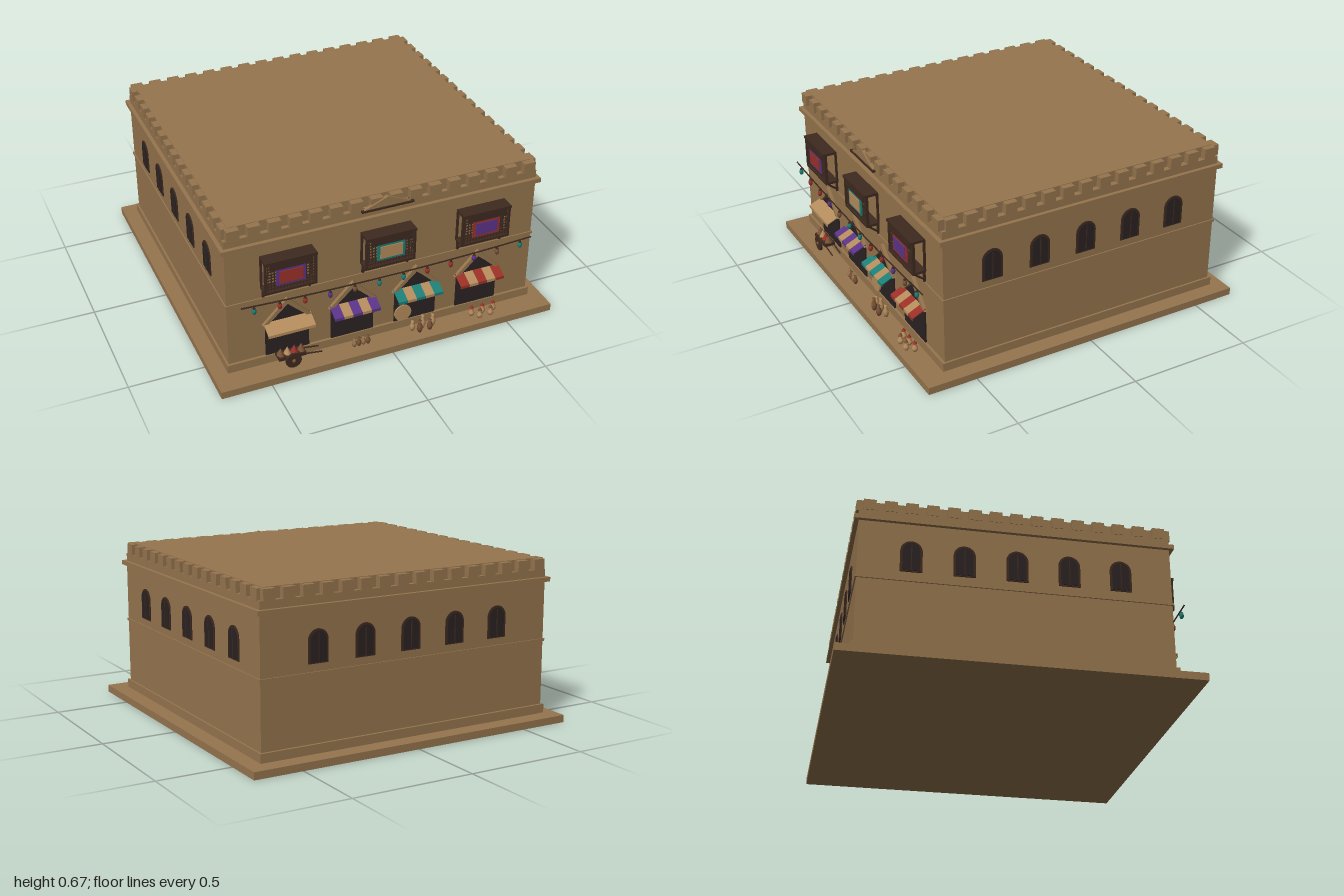
import * as THREE from 'three';

const mat = (name, color, side = THREE.FrontSide) => {
  const m = new THREE.MeshStandardMaterial({ color, side });
  m.name = name;
  return m;
};

export function createModel() {
  const sand = mat('sandstone', 0x96754e);
  const cloth = mat('pale cloth', 0xb58c5c);
  const wood = mat('dark wood', 0x3e2a20);
  const dark = mat('shadowed opening', 0x2a2222);
  const red = mat('red', 0x9c3128);
  const purple = mat('purple', 0x5c3488);
  const teal = mat('teal', 0x1d8078);
  const clay = mat('clay', 0x7a5236);

  const root = new THREE.Group();
  root.name = 'marketHall';
  const group = (name, parent = root) => {
    const g = new THREE.Group();
    g.name = name;
    parent.add(g);
    return g;
  };
  const add = (parent, name, geo, material, x = 0, y = 0, z = 0) => {
    const m = new THREE.Mesh(geo, material);
    m.name = name;
    m.position.set(x, y, z);
    parent.add(m);
    return m;
  };
  const box = (parent, name, material, w, h, d, x, y, z) =>
    add(parent, name, new THREE.BoxGeometry(w, h, d), material, x, y, z);
  // Rod between two points
  const rod = (parent, name, material, a, b, r) => {
    const A = new THREE.Vector3(...a), B = new THREE.Vector3(...b);
    const m = add(parent, name, new THREE.CylinderGeometry(r, r, A.distanceTo(B), 6), material);
    m.position.copy(A).lerp(B, 0.5);
    m.quaternion.setFromUnitVectors(new THREE.Vector3(0, 1, 0), B.sub(A).normalize());
    return m;
  };
  const extrude = (shape, depth) =>
    new THREE.ExtrudeGeometry(shape, { depth, bevelEnabled: false, curveSegments: 10 });
  const polygon = pts => new THREE.Shape(pts.map(p => new THREE.Vector2(...p)));

  // Ground slab and stacked masonry
  box(root, 'groundSlab', sand, 1.4, 0.03, 1.37, 0, 0.015, 0.015);
  box(root, 'walls', sand, 1.27, 0.595, 1.2, 0, 0.3225, 0);
  box(root, 'plinth', sand, 1.286, 0.035, 1.222, 0, 0.0525, 0);
  box(root, 'beltCourse', sand, 1.28, 0.01, 1.21, 0, 0.335, 0);
  box(root, 'cornice', sand, 1.3, 0.018, 1.232, 0, 0.58, 0);
  box(root, 'roof', sand, 1.225, 0.045, 1.165, 0, 0.6425, 0);

  // Battlements around the roof
  const merlons = group('battlements');
  for (const s of [-1, 1]) {
    for (let i = 0; i < 16; i++)
      box(merlons, 'merlon', sand, 0.048, 0.044, 0.03, -0.6 + i * 0.08, 0.641, s * 0.594);
    for (let i = 0; i < 15; i++)
      box(merlons, 'merlon', sand, 0.03, 0.044, 0.048, s * 0.622, 0.641, -0.56 + i * 0.08);
  }

  // Arched windows on the sides and back
  const arch = (w, h) => {
    const s = new THREE.Shape();
    s.moveTo(-w / 2, 0);
    s.lineTo(w / 2, 0);
    s.lineTo(w / 2, h - w / 2);
    s.absarc(0, h - w / 2, w / 2, 0, Math.PI, false);
    s.closePath();
    return s;
  };
  const frameShape = arch(0.084, 0.128), paneShape = arch(0.066, 0.115);
  const walls = [[Math.PI / 2, 0.635], [-Math.PI / 2, 0.635], [Math.PI, 0.6]];
  for (const [turn, dist] of walls) {
    const side = group('windowRow');
    side.rotation.y = turn;
    for (let i = -2; i <= 2; i++) {
      const x = i * 0.2;
      add(side, 'windowFrame', extrude(frameShape, 0.004), wood, x, 0.37, dist);
      add(side, 'windowPane', extrude(paneShape, 0.002), dark, x, 0.375, dist + 0.004);
      box(side, 'windowMullion', wood, 0.004, 0.11, 0.003, x, 0.43, dist + 0.0065);
    }
  }

  // Central pediment on the parapet
  const crest = group('pediment');
  add(crest, 'gable', extrude(polygon([[-0.1, 0], [0.1, 0], [0, 0.042]]), 0.014), sand, 0, 0.624, 0.602);
  box(crest, 'gableSill', wood, 0.212, 0.008, 0.024, 0, 0.622, 0.608);

  // Projecting lattice bays
  const bays = [[-0.4, red, purple], [0, cloth, teal], [0.4, purple, red]];
  for (const [x, fill, trim] of bays) {
    const bay = group('latticeBay');
    bay.position.x = x;
    box(bay, 'bayRoof', wood, 0.205, 0.01, 0.058, 0, 0.521, 0.63);
    box(bay, 'bayFloor', wood, 0.205, 0.01, 0.054, 0, 0.391, 0.628);
    box(bay, 'bayFascia', wood, 0.165, 0.03, 0.008, 0, 0.504, 0.654);
    for (const s of [-1, 1]) {
      box(bay, 'bayPost', wood, 0.008, 0.13, 0.012, s * 0.098, 0.456, 0.649);
      box(bay, 'wallPost', wood, 0.008, 0.13, 0.008, s * 0.098, 0.456, 0.604);
      box(bay, 'bracketFoot', wood, 0.009, 0.045, 0.008, s * 0.092, 0.366, 0.604);
      rod(bay, 'bracket', wood, [s * 0.092, 0.35, 0.602], [s * 0.092, 0.388, 0.648], 0.004);
    }
    for (let i = -7; i <= 7; i++)
      box(bay, 'latticeUpright', wood, 0.004, 0.12, 0.003, i * 0.0125, 0.456, 0.648);
    for (let i = 0; i < 9; i++)
      box(bay, 'latticeRail', wood, 0.195, 0.004, 0.003, 0, 0.406 + i * 0.0125, 0.649);
    box(bay, 'shutterTrim', trim, 0.114, 0.07, 0.006, 0, 0.453, 0.653);
    box(bay, 'shutter', fill, 0.092, 0.052, 0.004, 0, 0.453, 0.657);
  }

  // Shop fronts with pointed arches and striped awnings
  const shops = [[-0.4, cloth], [-0.133, purple], [0.133, teal], [0.4, red]];
  const opening = [[-0.088, 0], [0.088, 0], [0.088, 0.14], [0, 0.215], [-0.088, 0.14]];
  for (const [x, colour] of shops) {
    const shop = group('shopFront');
    shop.position.x = x;
    add(shop, 'shopOpening', extrude(polygon(opening), 0.006), dark, 0, 0.07, 0.6);
    const trim = polygon([[-0.1, 0.215], [0, 0.318], [0.1, 0.215], [0.082, 0.215], [0, 0.292], [-0.082, 0.215]]);
    add(shop, 'archMoulding', extrude(trim, 0.014), sand, 0, 0, 0.6);
    for (let i = 0; i < 5; i++) {
      const stripe = i % 2 ? cloth : colour;
      const sx = (i - 2) * 0.038;
      const panel = box(shop, 'awningStripe', stripe, 0.038, 0.004, 0.06, sx, 0.21, 0.631);
      panel.rotation.x = 0.43;
      box(shop, 'awningValance', stripe, 0.038, 0.012, 0.003, sx, 0.194, 0.658);
    }
  }

  // Rope of hanging lanterns
  const lights = group('lanternString');
  const ropeY = x => 0.344 + 0.016 * (x / 0.6) ** 2;
  const ropePts = [-0.6, -0.4, -0.2, 0, 0.2, 0.4, 0.6].map(x => new THREE.Vector3(x, ropeY(x), 0.662));
  add(lights, 'rope', new THREE.TubeGeometry(new THREE.CatmullRomCurve3(ropePts), 36, 0.003, 5), wood);
  const lampColours = [teal, red, red, purple, clay, teal];
  for (let i = 0; i < 12; i++) {
    const x = -0.55 + i * 0.1, y = ropeY(x);
    const lamp = add(lights, 'lantern', new THREE.SphereGeometry(0.009, 10, 8), lampColours[i % 6], x, y - 0.02, 0.664);
    lamp.scale.y = 1.6;
    add(lights, 'lanternCap', new THREE.CylinderGeometry(0.003, 0.006, 0.006, 8), wood, x, y - 0.006, 0.664);
  }

  // Fruit cart at the first shop
  const cart = group('fruitCart');
  cart.position.set(-0.4, 0, 0.638);
  box(cart, 'cartTray', wood, 0.11, 0.014, 0.045, 0, 0.076, 0);
  const wheel = add(cart, 'cartWheel', new THREE.CylinderGeometry(0.032, 0.032, 0.008, 16), wood, 0, 0.064, 0.028);
  wheel.rotation.x = Math.PI / 2;
  add(cart, 'wheelHub', new THREE.SphereGeometry(0.008, 8, 6), clay, 0, 0.064, 0.032);
  for (const s of [-1, 1])
    rod(cart, 'cartHandle', wood, [0.04, 0.074, s * 0.018], [0.12, 0.063, s * 0.018], 0.003);
  const fruit = [clay, cloth, red];
  for (let i = 0; i < 4; i++) {
    const fx = -0.042 + i * 0.028;
    const pile = add(cart, 'fruitHeap', new THREE.ConeGeometry(0.015, 0.032, 10), fruit[i % 3], fx, 0.098, 0);
    pile.scale.z = 1.2;
  }

  // Pots standing in front of the other shops
  const potProfile = [[0, 0], [0.5, 0], [0.9, 0.3], [0.8, 0.55], [0.4, 0.8], [0.55, 1], [0, 1]];
  const pot = (parent, x, z, r, h, material) =>
    add(parent, 'pot', new THREE.LatheGeometry(potProfile.map(p => new THREE.Vector2(p[0] * r, p[1] * h)), 10),
      material, x, 0.03, z);
  const jars = group('pottery');
  for (let i = 0; i < 4; i++)
    pot(jars, -0.138 + i * 0.019, 0.64, 0.011, 0.036, i % 2 ? clay : sand);
  for (let i = 0; i < 5; i++)
    pot(jars, 0.112 + i * 0.022, 0.635 + (i % 2) * 0.02, 0.013, 0.045 + (i % 3) * 0.008, i % 2 ? clay : cloth);
  for (let i = 0; i < 5; i++) {
    const x = 0.37 + i * 0.024, z = 0.64 + (i % 2) * 0.025;
    pot(jars, x, z, 0.014, 0.034, cloth);
    add(jars, 'spiceCone', new THREE.ConeGeometry(0.009, 0.016, 10), i % 2 ? clay : red, x, 0.072, z);
  }

  // Round tray displayed at the third shop
  const tray = add(root, 'displayTray', new THREE.CylinderGeometry(0.036, 0.036, 0.006, 20), cloth, 0.077, 0.112, 0.616);
  tray.rotation.x = Math.PI / 2;

  return root;
}
